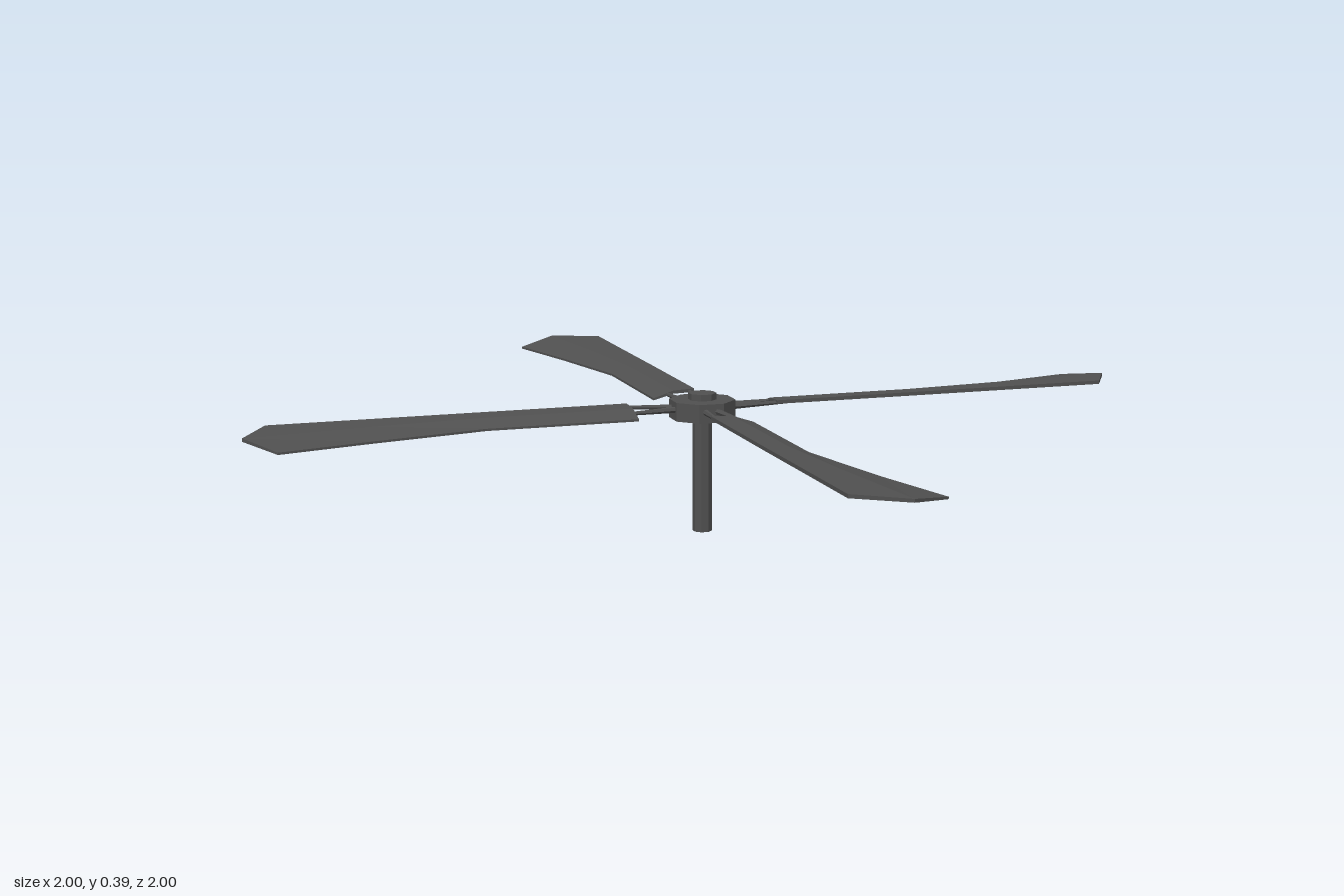
import * as THREE from 'three';

const darkGrey = new THREE.MeshStandardMaterial({ color: 0x505050, flatShading: true });
darkGrey.name = 'dark grey';

// Upper surface of a blade: [low edge, crease, high edge] as [x, y, z] at each station
const STATIONS = [
  [[0.205, 0.342, -0.078], [0.205, 0.361, -0.02], [0.205, 0.364, 0.042]],
  [[0.626, 0.342, -0.081], [0.626, 0.361, -0.025], [0.626, 0.364, 0.04]],
  [[0.94, 0.341, -0.148], [0.94, 0.361, -0.055], [0.94, 0.364, 0.037]],
  [[1.199, 0.341, -0.216], [1.273, 0.36, -0.099], [1.195, 0.364, 0.035]],
];
const THICK = [0.006, 0.009, 0.01];

function bladeGeometry() {
  // Each ring runs over the top and back along the underside
  const rings = STATIONS.map((top) => {
    const under = top.map(([x, y, z], i) => [x, y - THICK[i], z]).reverse();
    return [...top, ...under];
  });
  const pos = [];
  const quad = (a, b, c, d) => pos.push(...a, ...b, ...c, ...a, ...c, ...d);
  for (let i = 0; i < rings.length - 1; i++) {
    const r = rings[i], s = rings[i + 1];
    for (let j = 0; j < 6; j++) {
      const k = (j + 1) % 6;
      quad(r[j], r[k], s[k], s[j]);
    }
  }
  const root = rings[0], tip = rings[rings.length - 1];
  for (let j = 0; j < 2; j++) {
    quad(tip[j], tip[j + 1], tip[4 - j], tip[5 - j]);
    quad(root[5 - j], root[4 - j], root[j + 1], root[j]);
  }
  const g = new THREE.BufferGeometry();
  g.setAttribute('position', new THREE.Float32BufferAttribute(pos, 3));
  g.computeVertexNormals();
  return g;
}

export function createModel() {
  const model = new THREE.Group();
  model.name = 'rotor';

  const add = (parent, name, geometry) => {
    const mesh = new THREE.Mesh(geometry, darkGrey);
    mesh.name = name;
    parent.add(mesh);
    return mesh;
  };

  // Eight-sided prism with flats facing the axes
  const octagon = (name, halfWidth, y0, y1) => {
    const r = halfWidth / Math.cos(Math.PI / 8);
    const g = new THREE.CylinderGeometry(r, r, y1 - y0, 8);
    g.rotateY(Math.PI / 8);
    g.translate(0, (y0 + y1) / 2, 0);
    return add(model, name, g);
  };
  octagon('mast', 0.025, 0, 0.33);
  octagon('hub', 0.085, 0.32, 0.372);
  octagon('hubCap', 0.036, 0.37, 0.39);

  // Tapered rod between two points
  const rod = (parent, name, a, b, ra, rb) => {
    const dir = b.clone().sub(a);
    const mesh = add(parent, name, new THREE.CylinderGeometry(rb, ra, dir.length(), 6));
    mesh.position.copy(a).add(b).multiplyScalar(0.5);
    mesh.quaternion.setFromUnitVectors(new THREE.Vector3(0, 1, 0), dir.normalize());
  };

  const blade = bladeGeometry();
  for (let i = 0; i < 4; i++) {
    const arm = new THREE.Group();
    arm.name = 'bladeArm' + (i + 1);
    arm.rotation.y = -Math.PI / 4 + (i * Math.PI) / 2;
    add(arm, 'blade', blade);
    // Pair of struts spreading from the hub to the blade root
    for (const s of [-1, 1]) {
      rod(arm, 'strut',
        new THREE.Vector3(0.07, 0.35, s * 0.016),
        new THREE.Vector3(0.225, s > 0 ? 0.356 : 0.35, s * 0.034 - 0.004), 0.009, 0.005);
    }
    model.add(arm);
  }
  return model;
}
